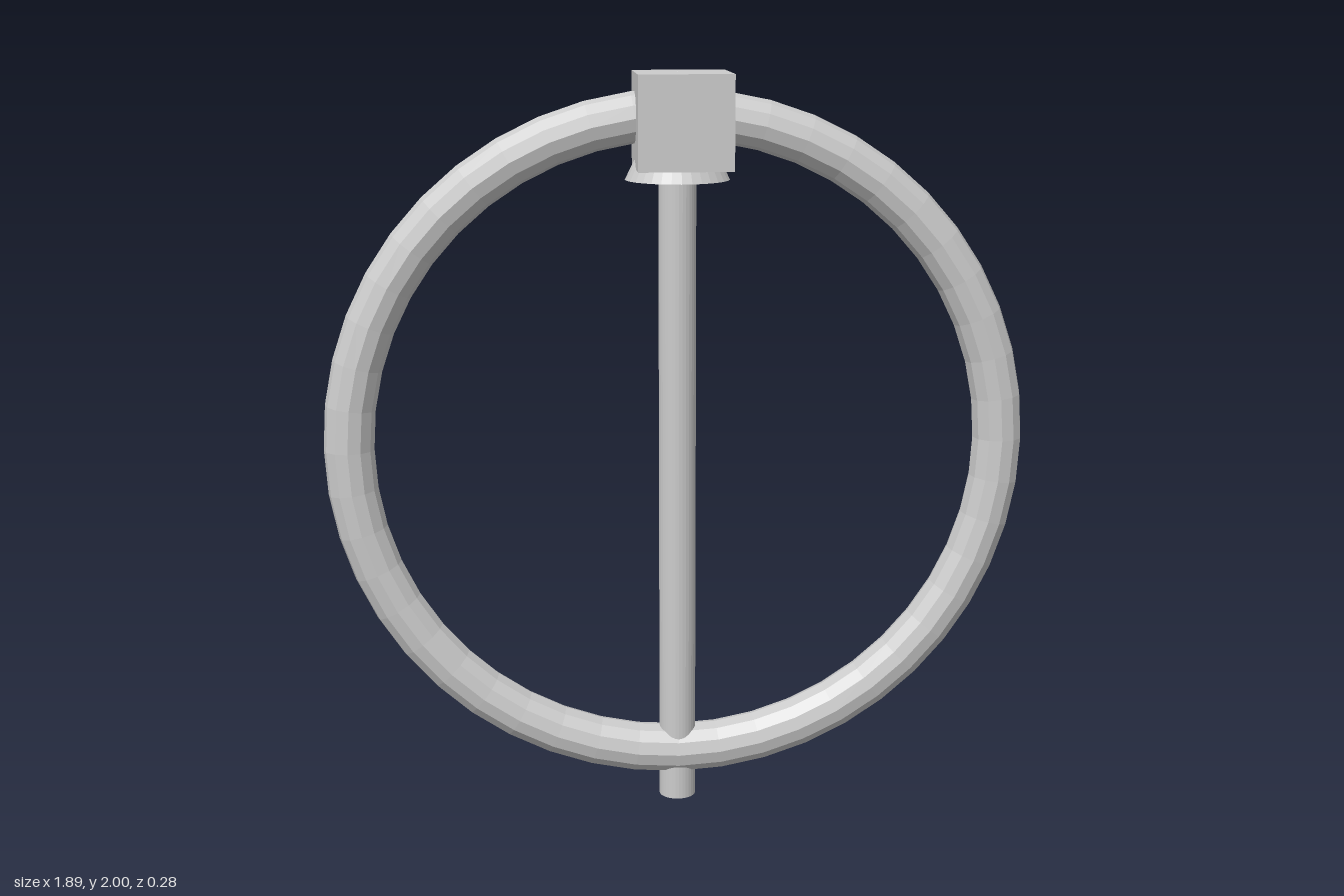
import * as THREE from 'three';

export function createModel() {
  const group = new THREE.Group();
  const material = new THREE.MeshStandardMaterial({ color: 0xcccccc, flatShading: true });

  const add = (name, geometry, x, y, z) => {
    const mesh = new THREE.Mesh(geometry, material);
    mesh.name = name;
    mesh.position.set(x, y, z);
    group.add(mesh);
  };

  // Large upright ring
  add('ring', new THREE.TorusGeometry(0.878, 0.067, 12, 48), 0, 1.013, 0);

  // Central rod, running from the ground through the ring into the block
  add('rod', new THREE.CylinderGeometry(0.05, 0.05, 1.8, 32), 0, 0.9, 0);

  // Block at the top, set slightly off centre
  add('topBlock', new THREE.BoxGeometry(0.248, 0.246, 0.248), 0.012, 1.876, 0.012);

  // Cone whose tip just reaches the block's top and whose rim shows below it
  add('collarCone', new THREE.ConeGeometry(0.138, 0.28, 32), 0, 1.862, 0);

  return group;
}
